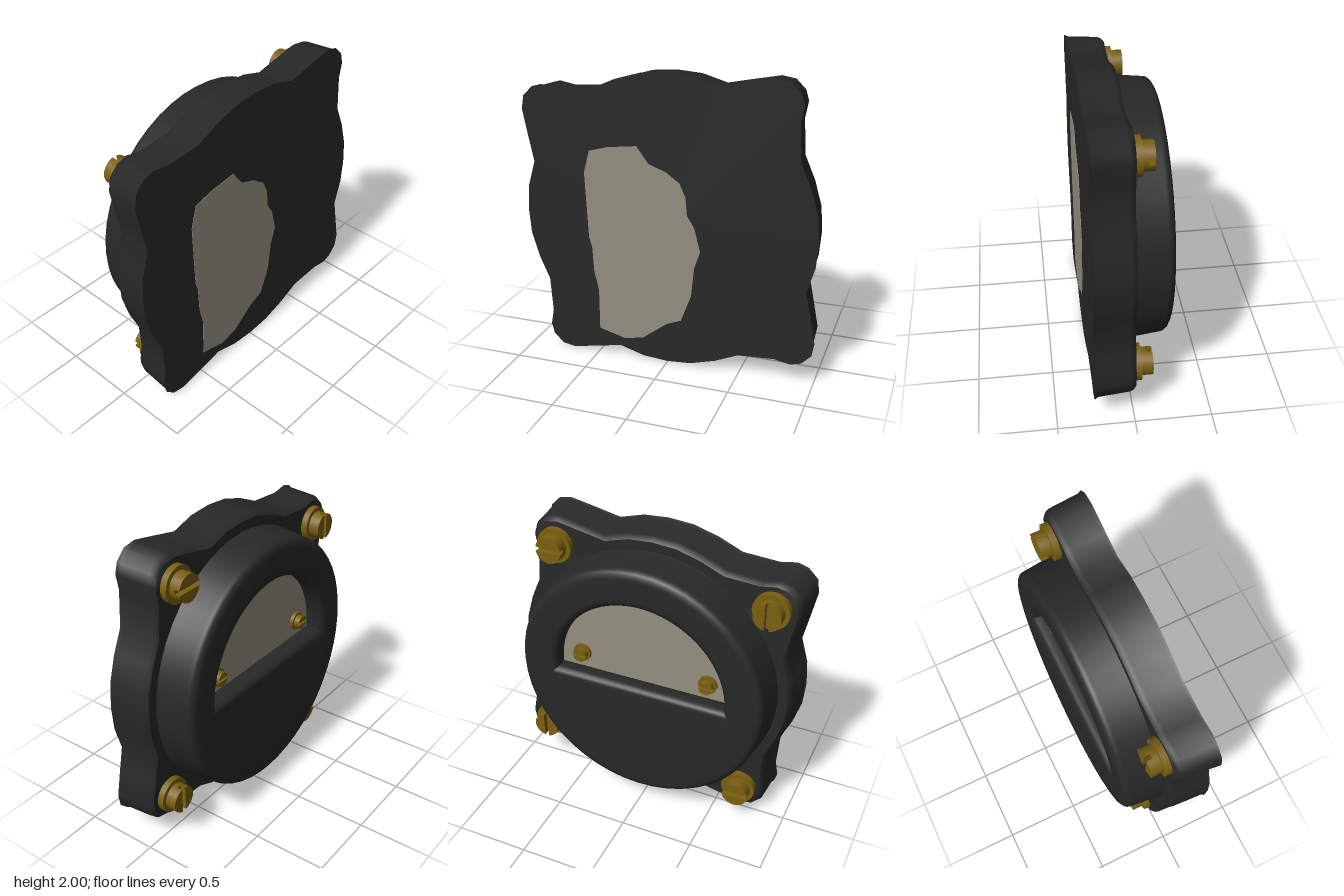
import * as THREE from 'three';
import { toCreasedNormals } from 'three/addons/utils/BufferGeometryUtils.js';

const mat = (name, color, side = THREE.FrontSide) => {
  const m = new THREE.MeshStandardMaterial({ color, side });
  m.name = name;
  return m;
};

// One quarter of the flange outline; it repeats by quarter turns
const QUARTER = [
  [1, 0.69], [0.985, 0.78], [0.92, 0.845], [0.85, 0.865], [0.74, 0.845], [0.5, 0.86],
  [0.34, 0.93], [0.17, 0.98], [0, 0.993], [-0.17, 0.98], [-0.34, 0.93], [-0.51, 0.965],
];

// Irregular pale area on the rear
const PATCH = [
  [0.57, 1.3], [0.53, 1.45], [0.4, 1.485], [0.2, 1.51], [0.12, 1.4], [0, 1.355], [-0.09, 1.29],
  [-0.13, 1.2], [-0.14, 1.08], [-0.19, 1], [-0.23, 0.84], [-0.19, 0.72], [-0.17, 0.52], [-0.1, 0.33],
  [0, 0.29], [0.17, 0.16], [0.3, 0.13], [0.49, 0.18], [0.49, 0.47], [0.52, 0.6], [0.53, 0.78], [0.55, 0.85],
];

// Closed loft of a scaled outline through [scale, depth] sections
function loft(outline, sections) {
  const n = outline.length, pos = [], idx = [];
  for (const [s, w] of sections) for (const [u, v] of outline) pos.push(u * s, v * s, w);
  for (let i = 0; i < sections.length - 1; i++) {
    for (let j = 0; j < n; j++) {
      const k = (j + 1) % n, a = i * n + j, b = i * n + k;
      idx.push(a, b, b + n, a, b + n, a + n);
    }
  }
  const g = new THREE.BufferGeometry();
  g.setAttribute('position', new THREE.Float32BufferAttribute(pos, 3));
  g.setIndex(idx);
  return toCreasedNormals(g, 0.75);
}

export function createModel() {
  const black = mat('black casing', 0x282828);
  const brass = mat('brass', 0x7a5f10);
  const beige = mat('beige dial', 0x949080);

  // Parts are built facing +z, then the whole gauge is turned to face -x
  const gauge = new THREE.Group();
  gauge.name = 'gauge';
  const add = (name, geo, material, parent = gauge) => {
    const m = new THREE.Mesh(geo, material);
    m.name = name;
    parent.add(m);
    return m;
  };

  // Wavy mounting flange with a slight flare to the rear
  const outline = [];
  for (let k = 0; k < 4; k++) {
    for (const [u, v] of QUARTER) {
      const c = [1, 0, -1, 0][k], s = [0, 1, 0, -1][k];
      outline.push([u * c - v * s, u * s + v * c]);
    }
  }
  add('flange', loft(outline, [
    [0, -0.255], [1, -0.255], [0.99, -0.235], [0.977, -0.03], [0.97, -0.008], [0.952, 0.012], [0, 0.012],
  ]), black);

  // Rear pale patch
  const patchShape = new THREE.Shape(PATCH.map(([u, v]) => new THREE.Vector2(u, v - 1)));
  add('rearPatch', new THREE.ExtrudeGeometry(patchShape, { depth: 0.006, bevelEnabled: false })
    .translate(0, 0, -0.258), beige);

  // Round housing wall
  const wall = [[0.885, 0], [0.875, 0.02], [0.855, 0.21]].map(([r, h]) => new THREE.Vector2(r, h));
  add('housingWall', new THREE.LatheGeometry(wall, 48).rotateX(Math.PI / 2), black);

  // Front cover with rounded rim and half-round window
  const cover = new THREE.Shape();
  cover.absarc(0, 0, 0.8, 0, Math.PI * 2);
  const window_ = new THREE.Path();
  const low = Math.asin(-0.07 / 0.65);
  window_.absarc(0, 0, 0.65, low, Math.PI - low);
  window_.closePath();
  cover.holes.push(window_);
  const coverGeo = new THREE.ExtrudeGeometry(cover, {
    depth: 0.05, bevelThickness: 0.05, bevelSize: 0.055, bevelSegments: 4, curveSegments: 24,
  }).translate(0, 0, 0.21 - 0.05 + 0.05 - 0.05 + 0.05);
  // Keep the front face exactly at the housing height
  coverGeo.computeBoundingBox();
  coverGeo.translate(0, 0, 0.26 - coverGeo.boundingBox.max.z);
  add('frontCover', toCreasedNormals(coverGeo, 0.6), black);

  // Dial behind the window
  add('dial', new THREE.CircleGeometry(0.78, 48).translate(0, 0, 0.13), beige);

  // Slotted screw with washer, standing on z = 0
  const halfHead = new THREE.Shape();
  const slot = Math.asin(0.015 / 0.09);
  halfHead.absarc(0, 0, 0.09, -Math.PI / 2 + slot, Math.PI / 2 - slot);
  halfHead.closePath();
  const halfGeo = toCreasedNormals(
    new THREE.ExtrudeGeometry(halfHead, { depth: 0.04, bevelEnabled: false, curveSegments: 12 }), 0.6);
  const disc = (r, h, z) => new THREE.CylinderGeometry(r, r, h, 24).rotateX(Math.PI / 2).translate(0, 0, z);
  function screw(name, u, v, w, turn, scale) {
    const g = new THREE.Group();
    g.name = name;
    add('washer', disc(0.12, 0.045, 0.0225), brass, g);
    add('head', disc(0.09, 0.04, 0.062), brass, g);
    for (const a of [0, Math.PI]) {
      const half = add('headHalf', halfGeo, brass, g);
      half.position.z = 0.08;
      half.rotation.z = a;
    }
    g.position.set(u, v, w);
    g.rotation.z = turn;
    g.scale.setScalar(scale);
    gauge.add(g);
  }

  // Four flange screws and two small dial screws
  let [u, v] = [0.795, 0.67];
  for (let k = 0; k < 4; k++) {
    screw('flangeScrew', u, v, 0.01, k * Math.PI / 2, 1);
    [u, v] = [-v, u];
  }
  for (const side of [-1, 1]) screw('dialScrew', side * 0.45, 0.09, 0.13, Math.PI / 2, 0.52);

  gauge.rotation.y = -Math.PI / 2;
  gauge.position.y = 1;
  const model = new THREE.Group();
  model.name = 'wallGauge';
  model.add(gauge);
  return model;
}
